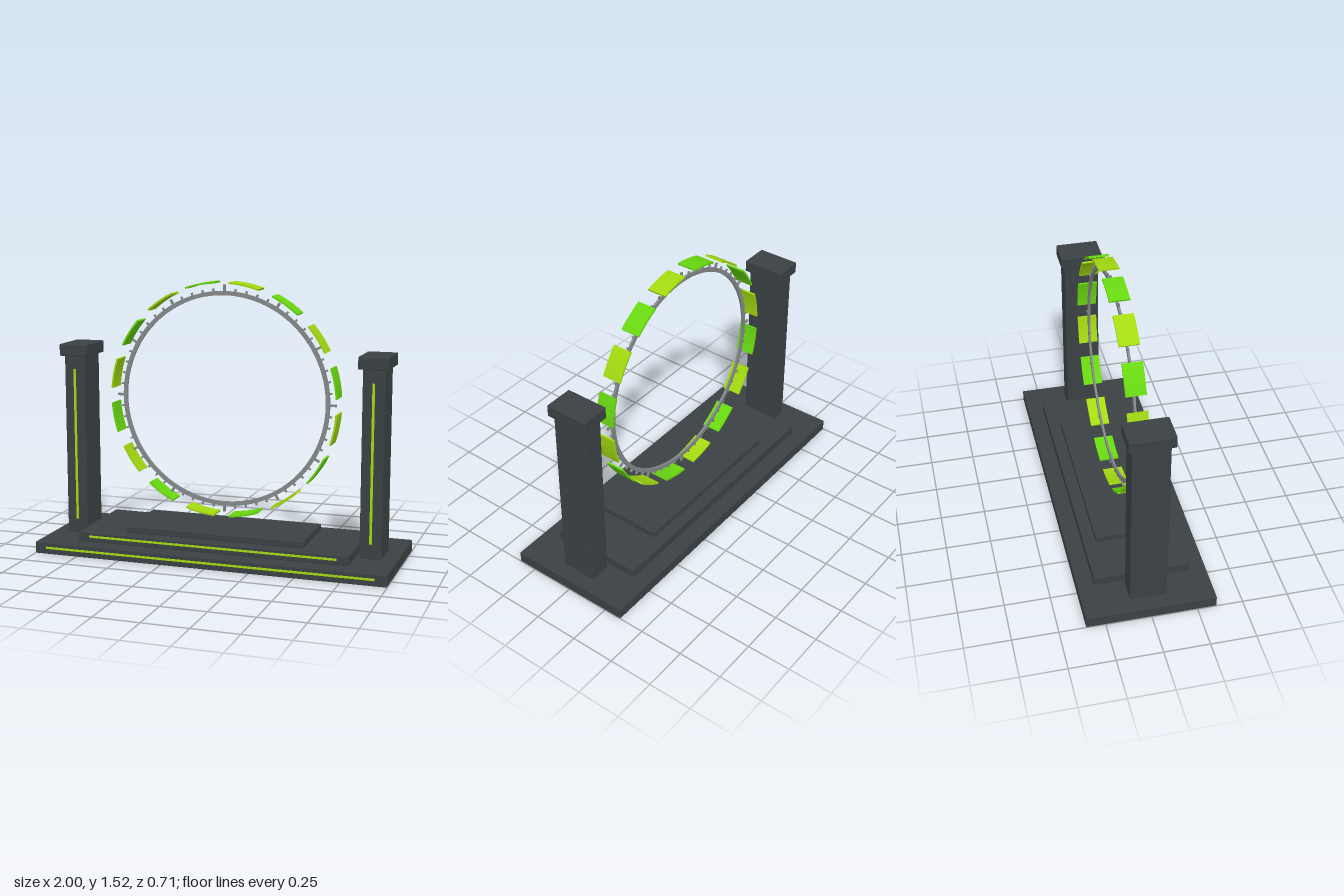
import * as THREE from 'three';
import { toCreasedNormals } from 'three/addons/utils/BufferGeometryUtils.js';
import { RoundedBoxGeometry } from 'three/addons/geometries/RoundedBoxGeometry.js';

const material = (name, color) => {
  const m = new THREE.MeshStandardMaterial({ color });
  m.name = name;
  return m;
};

export function createModel() {
  const stone = material('dark stone', 0x3b4244);
  const metal = material('grey metal', 0x86898a);
  const green = material('green', 0x68d810);
  const lime = material('lime', 0xa2da10);
  const model = new THREE.Group();

  const add = (parent, name, geometry, mat, x = 0, y = 0, z = 0) => {
    const mesh = new THREE.Mesh(geometry, mat);
    mesh.name = name;
    mesh.position.set(x, y, z);
    parent.add(mesh);
    return mesh;
  };
  // Softly edged block standing between two heights
  const block = (parent, name, w, y0, y1, d, x = 0) =>
    add(parent, name, new RoundedBoxGeometry(w, y1 - y0, d, 2, 0.005), stone, x, (y0 + y1) / 2);
  const strip = (parent, name, w, h, x, y, z) =>
    add(parent, name, new THREE.BoxGeometry(w, h, 0.006), lime, x, y, z);

  // Stepped base with glowing lines on the front
  const base = new THREE.Group();
  base.name = 'base';
  model.add(base);
  block(base, 'lowerStep', 2, 0, 0.066, 0.71);
  block(base, 'middleStep', 1.55, 0.066, 0.12, 0.53);
  block(base, 'upperStep', 1.02, 0.12, 0.157, 0.396);
  strip(base, 'lowerStrip', 1.87, 0.012, 0, 0.036, 0.355);
  strip(base, 'middleStrip', 1.42, 0.012, 0, 0.097, 0.265);

  // Pillars with caps
  for (const side of [-1, 1]) {
    const pillar = new THREE.Group();
    pillar.name = side > 0 ? 'leftPillar' : 'rightPillar';
    pillar.position.x = side * 0.856;
    model.add(pillar);
    block(pillar, 'shaft', 0.12, 0.064, 1.092, 0.2);
    block(pillar, 'cap', 0.164, 1.09, 1.157, 0.242);
    strip(pillar, 'shaftStrip', 0.014, 0.868, 0, 0.582, 0.1);
  }

  // Floating ring
  const portal = new THREE.Group();
  portal.name = 'portal';
  portal.position.y = 0.87;
  model.add(portal);

  const annulus = new THREE.Shape().absarc(0, 0, 0.599, 0, Math.PI * 2, false);
  annulus.holes.push(new THREE.Path().absarc(0, 0, 0.576, 0, Math.PI * 2, true));
  const ringGeometry = new THREE.ExtrudeGeometry(annulus, { depth: 0.012, bevelEnabled: false, curveSegments: 96 });
  ringGeometry.translate(0, 0, -0.006);
  add(portal, 'ring', toCreasedNormals(ringGeometry, 0.5), metal);

  // Tick marks, longer at the quarters
  for (let i = 0; i < 60; i++) {
    const a = (i / 60) * Math.PI * 2;
    const end = i % 15 === 0 ? 0.635 : i % 5 === 0 ? 0.627 : 0.614;
    const start = 0.594;
    const r = (start + end) / 2;
    const wide = i % 5 === 0 ? 0.013 : 0.01;
    const tick = add(portal, 'tick', new THREE.BoxGeometry(end - start, wide, 0.01), metal, r * Math.cos(a), r * Math.sin(a));
    tick.rotation.z = a;
  }

  // Curved panels around the ring in alternating colours
  const half = THREE.MathUtils.degToRad(7.5);
  const arc = new THREE.Shape();
  arc.absarc(0, 0, 0.653, -half, half, false);
  arc.absarc(0, 0, 0.643, half, -half, true);
  arc.closePath();
  const panelGeometry = new THREE.ExtrudeGeometry(arc, { depth: 0.11, bevelEnabled: false, curveSegments: 10 });
  panelGeometry.translate(0, 0, -0.055);
  const panelSmooth = toCreasedNormals(panelGeometry, 0.5);
  for (let i = 0; i < 16; i++) {
    const panel = add(portal, 'panel', panelSmooth, i % 2 ? lime : green);
    panel.rotation.z = ((i + 0.5) / 16) * Math.PI * 2;
  }
  return model;
}
